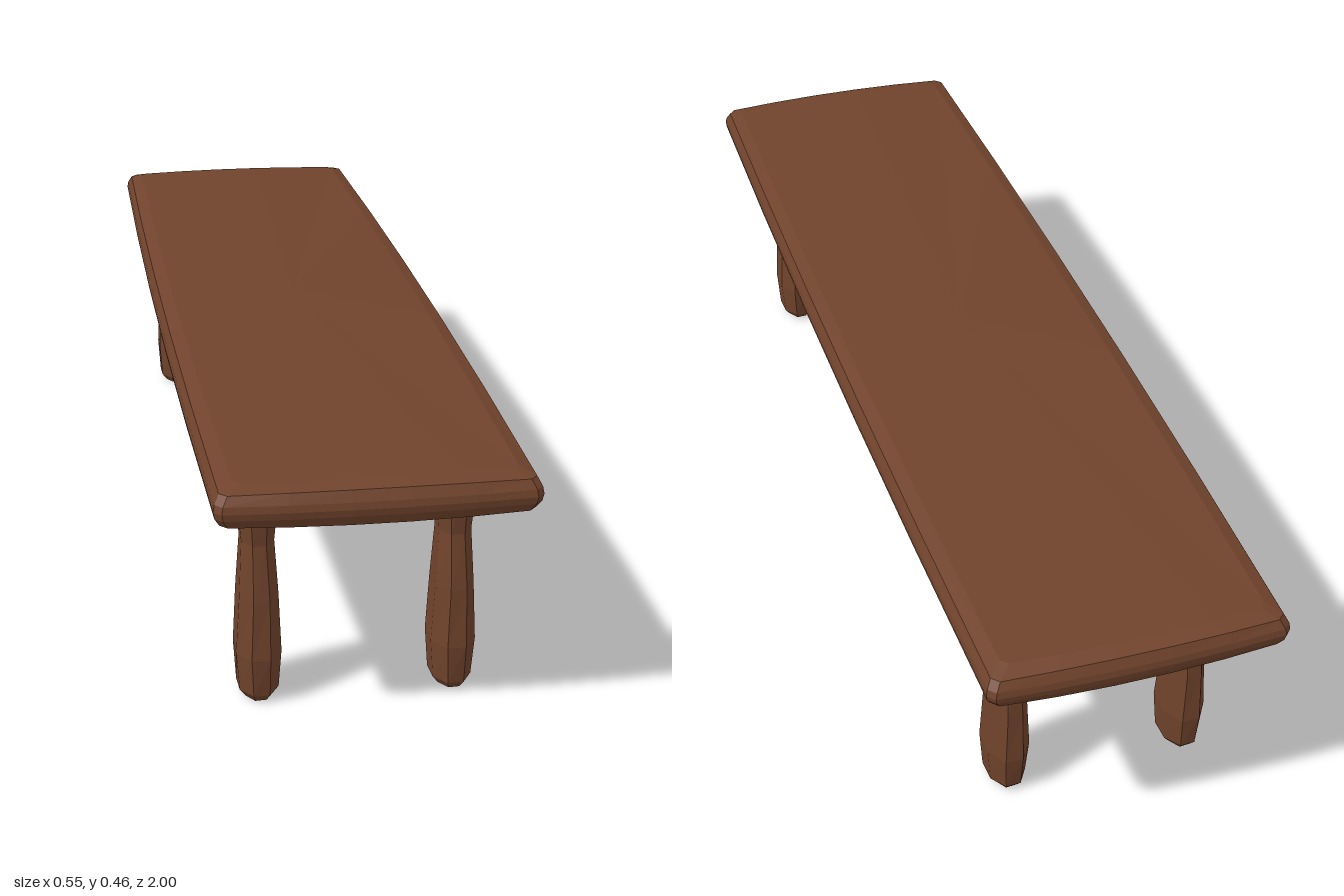
import * as THREE from 'three';

// Skin a stack of equal-length vertex rings (bottom to top, counter-clockwise seen from above)
function loft(rings, bottom, top) {
  const n = rings[0].length;
  const positions = [...rings.flat(), bottom, top].flat();
  const index = [];
  const base = rings.length * n;
  const last = base - n;
  for (let i = 0; i < n; i++) {
    const j = (i + 1) % n;
    for (let r = 0; r < rings.length - 1; r++) {
      const a = r * n + i, b = r * n + j;
      index.push(a, b, b + n, a, b + n, a + n);
    }
    index.push(base, j, i, base + 1, last + i, last + j);
  }
  const geometry = new THREE.BufferGeometry();
  geometry.setAttribute('position', new THREE.Float32BufferAttribute(positions, 3));
  geometry.setIndex(index);
  geometry.computeVertexNormals();
  return geometry;
}

// Slightly bowed rectangle with small clipped corners
function plankRing(y, inset, crown) {
  const hx = 0.264 - inset, hz = 0.99 - inset * 1.1, c = 0.012;
  const ring = [];
  const add = (x, z) => {
    const u = x / hx, v = z / hz;
    const bulge = (1 - u * u) * (1 - v * v);
    const ends = Math.abs(v) > 0.999 ? 1 - u * u : 0;
    const sides = Math.abs(u) > 0.999 ? 1 - v * v : 0;
    ring.push([
      x + Math.sign(x) * 0.01 * sides,
      y + crown * (Math.max(bulge, ends, sides)),
      z + Math.sign(z) * 0.01 * ends,
    ]);
  };
  const steps = [-1, -0.6, -0.2, 0.2, 0.6, 1];
  for (const t of steps) add(t * (hx - c), hz);
  for (const t of steps) add(hx, -t * (hz - c));
  for (const t of steps) add(-t * (hx - c), -hz);
  for (const t of steps) add(-hx, t * (hz - c));
  return ring;
}

// Carved leg: faceted oval sections, waisted near the top and swollen near the foot
function legGeometry() {
  const sections = [ // y, half width x, half depth z, twist
    [0.000, 0.024, 0.040, 0.05],
    [0.014, 0.034, 0.051, 0.05],
    [0.085, 0.039, 0.060, 0.00],
    [0.190, 0.034, 0.053, 0.06],
    [0.288, 0.028, 0.042, 0.00],
    [0.390, 0.037, 0.056, -0.05],
  ];
  const sides = 8;
  const rings = sections.map(([y, w, d, twist]) =>
    Array.from({ length: sides }, (_, i) => {
      const a = ((i + 0.5) / sides) * Math.PI * 2 + twist;
      return [1.07 * w * Math.sin(a), y, 1.07 * d * Math.cos(a)];
    }));
  return loft(rings, [0, 0, 0], [0, 0.39, 0]);
}

export function createModel() {
  const group = new THREE.Group();
  group.name = 'bench';
  const wood = new THREE.MeshStandardMaterial({ color: 0x70432c, flatShading: true });

  // Seat plank with worn, rounded edges
  const profile = [ // y, inset, crown
    [0.382, 0.034, -0.002],
    [0.391, 0.010, -0.003],
    [0.406, 0.002, 0],
    [0.418, 0.000, 0],
    [0.430, 0.002, 0],
    [0.445, 0.010, 0.003],
    [0.454, 0.034, 0.002],
  ];
  const seat = new THREE.Mesh(
    loft(profile.map((p) => plankRing(...p)), [0, 0.378, 0], [0, 0.458, 0]), wood);
  seat.name = 'seat';
  group.add(seat);

  // Four legs, turned so their facets vary
  const geometry = legGeometry();
  for (const [end, z] of [['front', 0.793], ['back', -0.767]]) {
    for (const [side, x] of [['Left', 0.16], ['Right', -0.174]]) {
      const leg = new THREE.Mesh(geometry, wood);
      leg.name = `${end}${side}Leg`;
      leg.position.set(x, 0, z);
      if (x > 0) leg.rotation.y = Math.PI;
      group.add(leg);
    }
  }
  return group;
}
